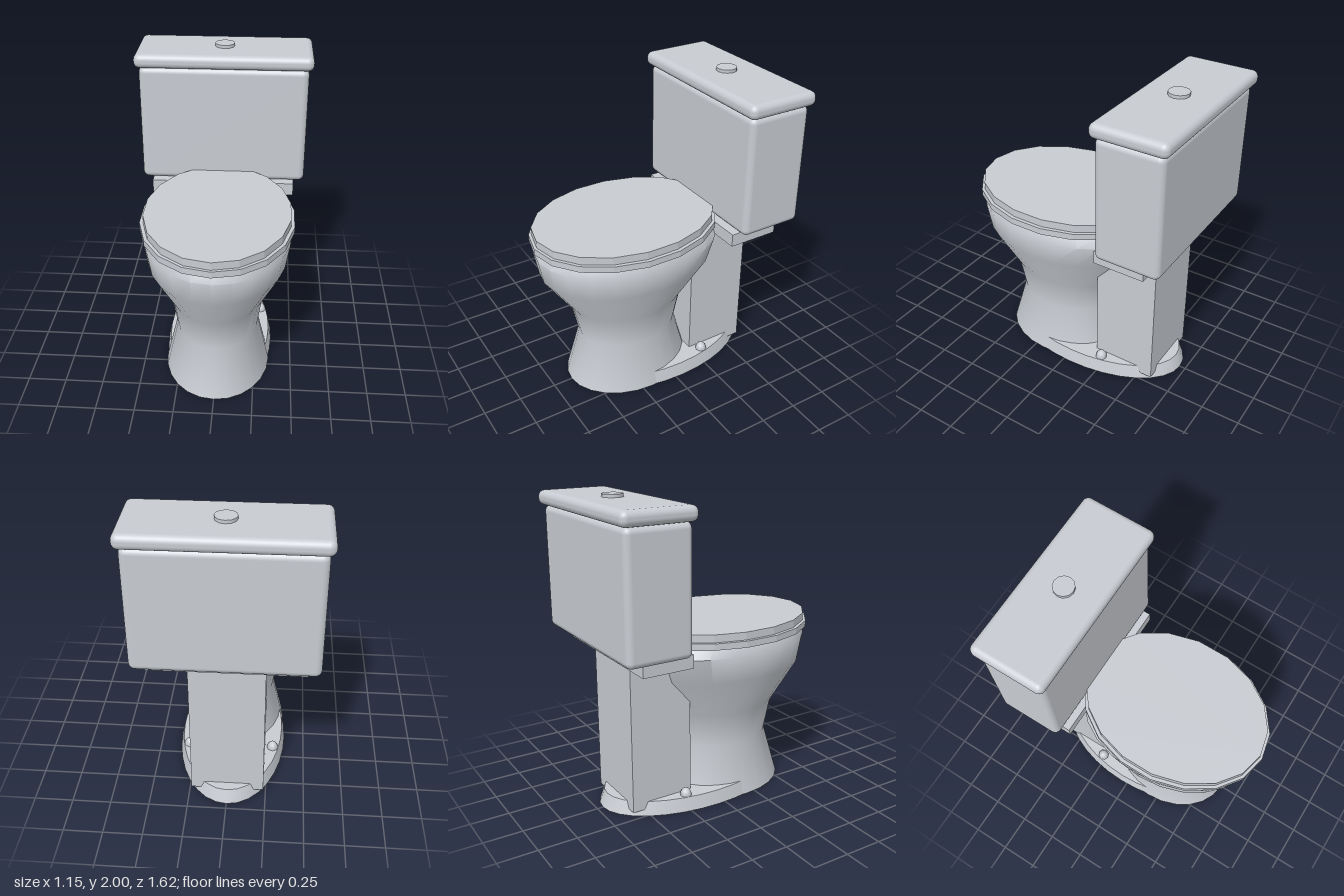
import * as THREE from 'three';
import { toCreasedNormals } from 'three/addons/utils/BufferGeometryUtils.js';
import { RoundedBoxGeometry } from 'three/addons/geometries/RoundedBoxGeometry.js';

// Capped loft through oval rings: [y, radiusX, radiusZ, centreZ, squareness of the back half]
function ovalLoft(rings, sides, crease) {
  const pos = [], index = [];
  for (const [y, rx, rz, cz, power = 2] of rings) {
    for (let i = 0; i < sides; i++) {
      const a = (i / sides) * Math.PI * 2, s = Math.sin(a), c = Math.cos(a);
      const e = 2 / (c < 0 ? power : 2);
      pos.push(rx * Math.sign(s) * Math.abs(s) ** e, y, cz + rz * Math.sign(c) * Math.abs(c) ** e);
    }
  }
  for (let r = 0; r < rings.length - 1; r++) {
    for (let i = 0; i < sides; i++) {
      const j = (i + 1) % sides, a = r * sides + i, b = r * sides + j;
      index.push(a, b, b + sides, a, b + sides, a + sides);
    }
  }
  const last = (rings.length - 1) * sides;
  for (let i = 1; i < sides - 1; i++) {
    index.push(0, i + 1, i, last, last + i, last + i + 1);
  }
  const g = new THREE.BufferGeometry();
  g.setAttribute('position', new THREE.Float32BufferAttribute(pos, 3));
  g.setIndex(index);
  return toCreasedNormals(g, crease);
}

export function createModel() {
  const model = new THREE.Group();
  model.name = 'toilet';
  const ceramic = new THREE.MeshStandardMaterial({ color: 0xc8ccd2 });
  ceramic.name = 'ceramic';

  const add = (name, geometry, x = 0, y = 0, z = 0) => {
    const mesh = new THREE.Mesh(geometry, ceramic);
    mesh.name = name;
    mesh.position.set(x, y, z);
    model.add(mesh);
    return mesh;
  };

  // Waisted bowl and pedestal
  add('bowl', ovalLoft([
    [0, 0.35, 0.44, 0.18],
    [0.34, 0.27, 0.34, 0.18],
    [0.57, 0.305, 0.39, 0.18],
    [0.85, 0.445, 0.58, 0.18, 2.1],
    [1.02, 0.472, 0.61, 0.18, 2.3],
    [1.08, 0.44, 0.575, 0.18, 2.3],
  ], 24, 0.75));

  // Tapered oval foot
  add('foot', ovalLoft([[0, 0.365, 0.665, -0.045], [0.09, 0.345, 0.63, -0.045]], 32, 0.5));

  // Seat ring and closed lid
  add('seat', ovalLoft([[1.08, 0.487, 0.628, 0.18], [1.122, 0.487, 0.628, 0.18]], 18, 0.2));
  add('seatLid', ovalLoft([[1.122, 0.464, 0.61, 0.18], [1.172, 0.464, 0.61, 0.18]], 18, 0.2));

  // Rear column and the shelf carrying the tank
  add('rearColumn', new THREE.BoxGeometry(0.47, 0.99, 0.42), 0, 0.535, -0.4);
  add('tankShelf', new THREE.BoxGeometry(0.96, 0.085, 0.335), 0, 1.063, -0.485);

  // Tank, cover and flush button
  add('tank', new RoundedBoxGeometry(1.1, 0.785, 0.425, 4, 0.04), 0, 1.498, -0.568);
  add('tankCover', new RoundedBoxGeometry(1.155, 0.092, 0.48, 4, 0.04), 0, 1.934, -0.57);
  add('flushButton', new THREE.CylinderGeometry(0.065, 0.065, 0.04, 12), 0, 1.98, -0.57);

  // Floor bolt caps
  for (const side of [-1, 1]) {
    add(side > 0 ? 'leftBoltCap' : 'rightBoltCap',
      new THREE.SphereGeometry(0.038, 8, 4, 0, Math.PI * 2, 0, Math.PI / 2)
        .scale(1, 1.3, 1), side * 0.285, 0.09, -0.255);
  }
  return model;
}
